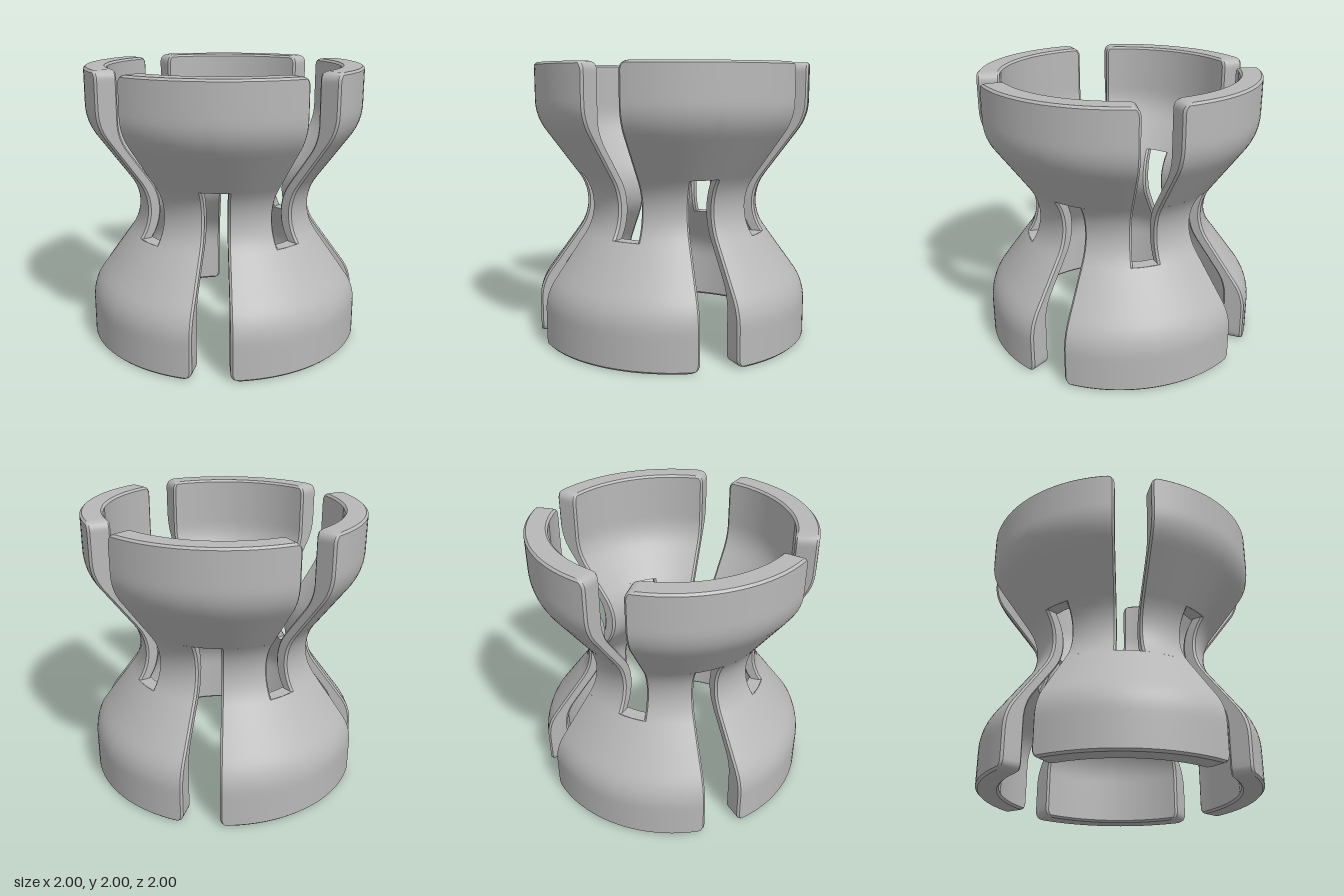
import * as THREE from 'three';
import { toCreasedNormals } from 'three/addons/utils/BufferGeometryUtils.js';

const RAD = Math.PI / 180;
const N = 12;              // steps across one segment
const CHAMFER = 0.015;
const CORNER = 0.06;       // rounded finger corners
const SLOT = 7.5 * RAD;    // half angle of every slot
const SECTOR = 45 * RAD;   // upper slot centre to lower slot centre
const UPPER_FLOOR = 0.79, LOWER_ROOF = 1.22;

// Hourglass radius: waist arc, straight flare, shoulder arc, straight rim
function radius(y, waist, rim) {
  const d = Math.abs(y - 1), R = 0.35, A = 36 * RAD;
  const rise = R * (1 - Math.cos(A)), run = R * Math.sin(A);
  const slope = Math.tan(A);
  const flare = (rim - waist - 2 * rise) / slope;
  if (d < run) return waist + R - Math.sqrt(R * R - d * d);
  if (d < run + flare) return waist + rise + (d - run) * slope;
  const e = Math.max(0, 2 * run + flare - d);
  return rim - R + Math.sqrt(R * R - e * e);
}

// Height levels: dense at the rounded ends, doubled at the slot ends
function levels() {
  const ends = [0];
  for (let i = 1; i <= 6; i++) ends.push(CORNER * (1 - Math.cos(i * 15 * RAD)));
  ends.push(CHAMFER);
  ends.sort((a, b) => a - b);
  const ys = [...ends, ...ends.map(e => 2 - e), UPPER_FLOOR, LOWER_ROOF];
  for (let i = 3; i < 48; i++) ys.push(i / 24);
  ys.sort((a, b) => a - b);
  const rows = [];
  for (const y of ys) {
    if (y > 1.94 && y < 1.96 && y === 47 / 24) continue;
    rows.push({ y, upper: y > UPPER_FLOOR, lower: y <= LOWER_ROOF });
    if (y === UPPER_FLOOR) rows.push({ y, upper: true, lower: true });
    if (y === LOWER_ROOF) rows.push({ y, upper: true, lower: false });
  }
  return rows;
}

// Closed cross-section of one sector at a level, as [angle, radius] points
function section({ y, upper, lower }) {
  const end = Math.min(y, 2 - y);
  const inset = Math.max(0, CHAMFER - end);
  const ro = radius(y, 0.63, 1) - inset;
  const ri = radius(y, 0.535, 0.84) + inset;
  const k = Math.max(0, CORNER - end);
  const round = CORNER - Math.sqrt(Math.max(0, CORNER * CORNER - k * k));
  const a = upper ? SLOT + (y > 1 ? round : 0) : 0;
  const b = lower ? SECTOR - SLOT - (y < 1 ? round : 0) : SECTOR;
  const ca = upper ? CHAMFER : 0, cb = lower ? CHAMFER : 0;
  const arc = (r, t) => [THREE.MathUtils.lerp(a + ca / r, b - cb / r, t), r];
  // rounding is a length, so turn it into an angle at the rim
  const pts = [];
  for (let i = 0; i <= N; i++) pts.push(arc(ro, i / N));
  pts.push([b, ro - cb], [b, ri + cb]);
  for (let i = N; i >= 0; i--) pts.push(arc(ri, i / N));
  pts.push([a, ri + ca], [a, ro - ca]);
  return pts;
}

function bodyGeometry() {
  const rows = levels(), sections = rows.map(section);
  const M = 2 * N + 6, positions = [];
  for (let quarter = 0; quarter < 4; quarter++) {
    for (const side of [1, -1]) {
      const point = (j, i) => {
        const [t, r] = sections[j][(i + M) % M];
        const angle = quarter * Math.PI / 2 + side * t;
        return [r * Math.sin(angle), rows[j].y, r * Math.cos(angle)];
      };
      const quad = (a, b, c, d) => {
        const order = side > 0 ? [a, b, c, a, c, d] : [a, c, b, a, d, c];
        for (const p of order) positions.push(...p);
      };
      // Walls, slot sides, and the slot ends between doubled levels
      for (let j = 0; j < rows.length - 1; j++) {
        const r0 = rows[j], r1 = rows[j + 1];
        for (let i = 0; i < M; i++) {
          const lowerSide = i >= N && i <= N + 2;
          const upperSide = i >= 2 * N + 3;
          if (lowerSide && !r0.lower && !r1.lower) continue;
          if (upperSide && !r0.upper && !r1.upper) continue;
          if (r0.y === r1.y && !(lowerSide && r0.lower !== r1.lower)
            && !(upperSide && r0.upper !== r1.upper)) continue;
          quad(point(j, i), point(j, i + 1), point(j + 1, i + 1), point(j + 1, i));
        }
      }
      // Flat rims at the bottom and top
      const last = rows.length - 1, inner = 2 * N + 3;
      for (let i = -1; i <= N; i++) {
        quad(point(0, i), point(0, inner - i), point(0, inner - i - 1), point(0, i + 1));
        quad(point(last, i), point(last, i + 1), point(last, inner - i - 1), point(last, inner - i));
      }
    }
  }
  const geometry = new THREE.BufferGeometry();
  geometry.setAttribute('position', new THREE.Float32BufferAttribute(positions, 3));
  return toCreasedNormals(geometry, 30 * RAD);
}

export function createModel() {
  const grey = new THREE.MeshStandardMaterial({ color: 0xb8b8b8 });
  grey.name = 'grey';
  const body = new THREE.Mesh(bodyGeometry(), grey);
  body.name = 'slottedSleeve';
  const group = new THREE.Group();
  group.name = 'doubleEndedCollet';
  group.add(body);
  return group;
}
